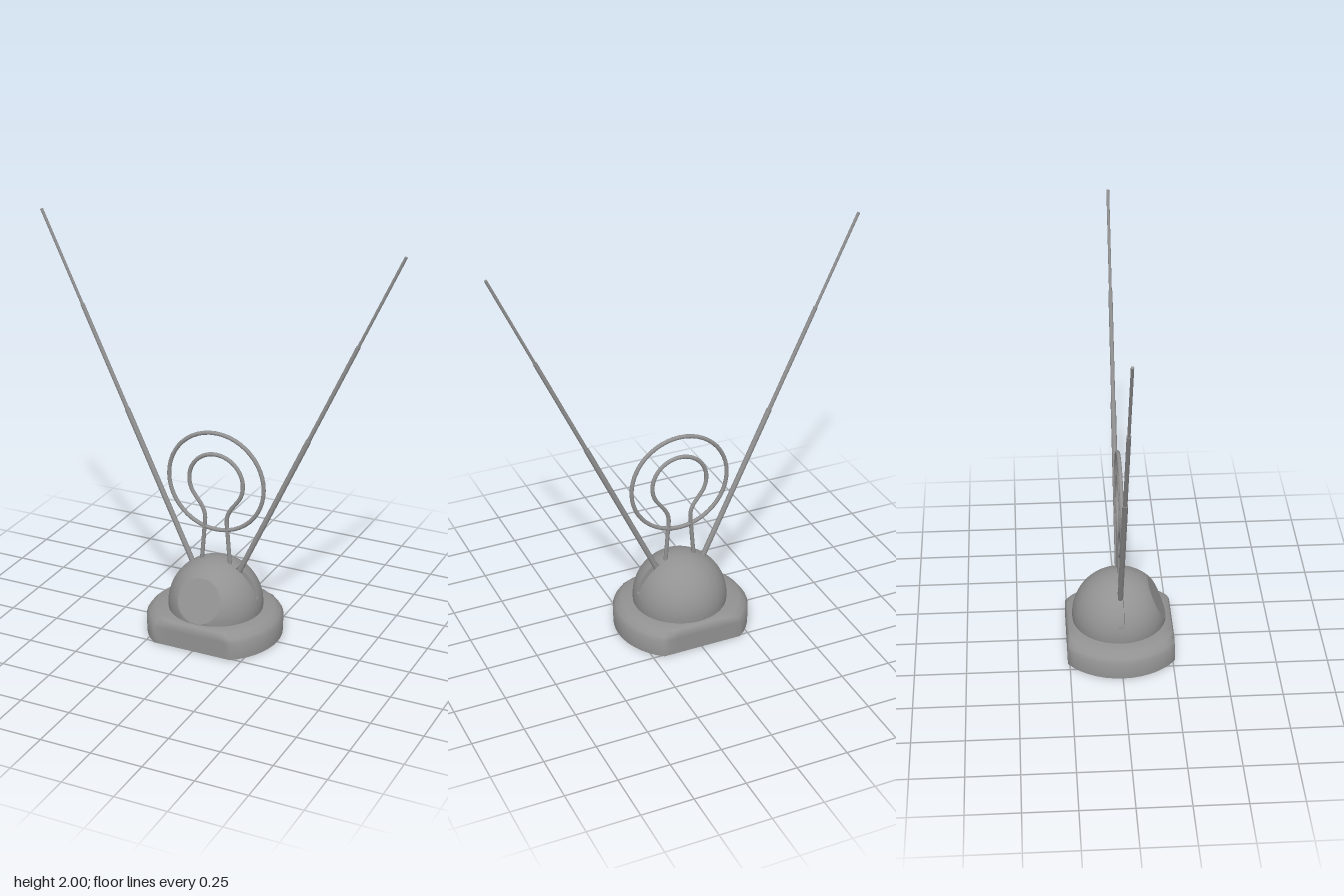
import * as THREE from 'three';
import { toCreasedNormals } from 'three/addons/utils/BufferGeometryUtils.js';

const V = (x, y, z = 0) => new THREE.Vector3(x, y, z);
const material = new THREE.MeshStandardMaterial({ color: 0x929292 });

function add(parent, name, geometry) {
  const mesh = new THREE.Mesh(geometry, material);
  mesh.name = name;
  parent.add(mesh);
  return mesh;
}

// Moves every vertex by a rule, then rebuilds the normals with sharp creases
function reshape(geometry, rule, crease) {
  const p = geometry.attributes.position;
  const v = new THREE.Vector3();
  for (let i = 0; i < p.count; i++) {
    rule(v.fromBufferAttribute(p, i));
    p.setXYZ(i, v.x, v.y, v.z);
  }
  return toCreasedNormals(geometry, crease);
}

// Straight rod between two points
function rod(parent, name, a, b, radius) {
  const mesh = add(parent, name, new THREE.CylinderGeometry(radius, radius, a.distanceTo(b), 12));
  mesh.position.copy(a).add(b).multiplyScalar(0.5);
  mesh.quaternion.setFromUnitVectors(V(0, 1), b.clone().sub(a).normalize());
}

export function createModel() {
  const model = new THREE.Group();
  model.name = 'tabletopAerial';

  // Base: softly chamfered disc with a flat front and back
  const profile = [[0, 0], [0.33, 0], [0.332, 0.085], [0.318, 0.105], [0.29, 0.126], [0.22, 0.13], [0, 0.13]];
  const disc = new THREE.LatheGeometry(profile.map(([r, y]) => new THREE.Vector2(r, y)), 48);
  const flatten = v => {
    const limit = 0.26 - Math.max(0, v.y - 0.105) * 0.5;
    v.z = THREE.MathUtils.clamp(v.z, -limit, limit);
  };
  add(model, 'base', reshape(disc, flatten, 1.2)).position.x = -0.004;

  // Dome: two shells either side of a notched core, with a sloping flat on the front
  const R = 0.23, gap = 0.014, coreR = Math.sqrt(R * R - gap * gap), low = -0.1;
  const dome = new THREE.Group();
  dome.name = 'dome';
  dome.position.y = 0.15;
  model.add(dome);
  const tilt = 0.416;
  const slope = V(0, Math.sin(tilt), Math.cos(tilt));
  const trim = v => {
    const d = v.dot(slope);
    if (d > 0.202) v.multiplyScalar(0.202 / d);
    v.y = Math.max(v.y, low);
  };
  for (const [side, name] of [[1, 'Front'], [-1, 'Back']]) {
    const shell = new THREE.SphereGeometry(R, 96, 40, 0, Math.PI * 2, 0, Math.acos(gap / R));
    add(dome, 'dome' + name, reshape(shell.rotateX(side * Math.PI / 2), trim, 0.4));
    const wall = new THREE.CircleGeometry(coreR, 96);
    if (side > 0) wall.rotateY(Math.PI);
    wall.translate(0, 0, side * gap);
    add(dome, 'slotWall' + name, reshape(wall, trim, 0.4));
  }

  // Crisp round face on the sloping flat
  const face = add(dome, 'frontFace', new THREE.CircleGeometry(0.108, 32));
  face.rotation.x = -tilt;
  face.position.copy(slope).multiplyScalar(0.203);

  // Core between the shells, with a shallow slot below each rod
  const core = new THREE.Shape();
  const start = Math.asin(low / coreR), a0 = 0.26, a1 = 1.06, inner = 0.2;
  core.absarc(0, 0, coreR, start, a0, false);
  core.absarc(0, 0, inner, a0, a1, false);
  core.absarc(0, 0, coreR, a1, Math.PI - a1, false);
  core.absarc(0, 0, inner, Math.PI - a1, Math.PI - a0, false);
  core.absarc(0, 0, coreR, Math.PI - a0, Math.PI - start, false);
  const plate = new THREE.ExtrudeGeometry(core, { depth: gap * 2, bevelEnabled: false, curveSegments: 24 });
  add(dome, 'domeCore', toCreasedNormals(plate.translate(0, 0, -gap), 0.4));

  // Telescopic rods, mirrored left and right
  const sections = [[0.28, 1.07, 0.013], [1.07, 1.56, 0.01], [1.56, 1.997, 0.007]];
  for (const [side, name] of [[1, 'left'], [-1, 'right']]) {
    const at = y => V(side * (0.902 - (2 - y) * 0.467), y);
    const antenna = new THREE.Group();
    antenna.name = name + 'Antenna';
    model.add(antenna);
    sections.forEach(([y0, y1, r], i) => rod(antenna, name + 'Section' + (i + 1), at(y0), at(y1), r));
  }

  // Outer ring
  const ring = add(model, 'outerRing', new THREE.TorusGeometry(0.247, 0.01, 10, 48));
  ring.position.y = 0.778;

  // Inner loop: a keyhole-shaped wire rising from the dome
  const leg = [V(0.08, 0.3), V(0.073, 0.38), V(0.063, 0.5), V(0.058, 0.6), V(0.074, 0.642)];
  const arc = [];
  for (let i = 0; i <= 16; i++) {
    const a = THREE.MathUtils.lerp(-0.75, Math.PI + 0.75, i / 16);
    arc.push(V(0.14 * Math.cos(a), 0.777 + 0.14 * Math.sin(a)));
  }
  const otherLeg = leg.map(p => V(-p.x, p.y)).reverse();
  const path = new THREE.CatmullRomCurve3([...leg, ...arc, ...otherLeg]);
  add(model, 'innerLoop', new THREE.TubeGeometry(path, 96, 0.01, 10));

  return model;
}
